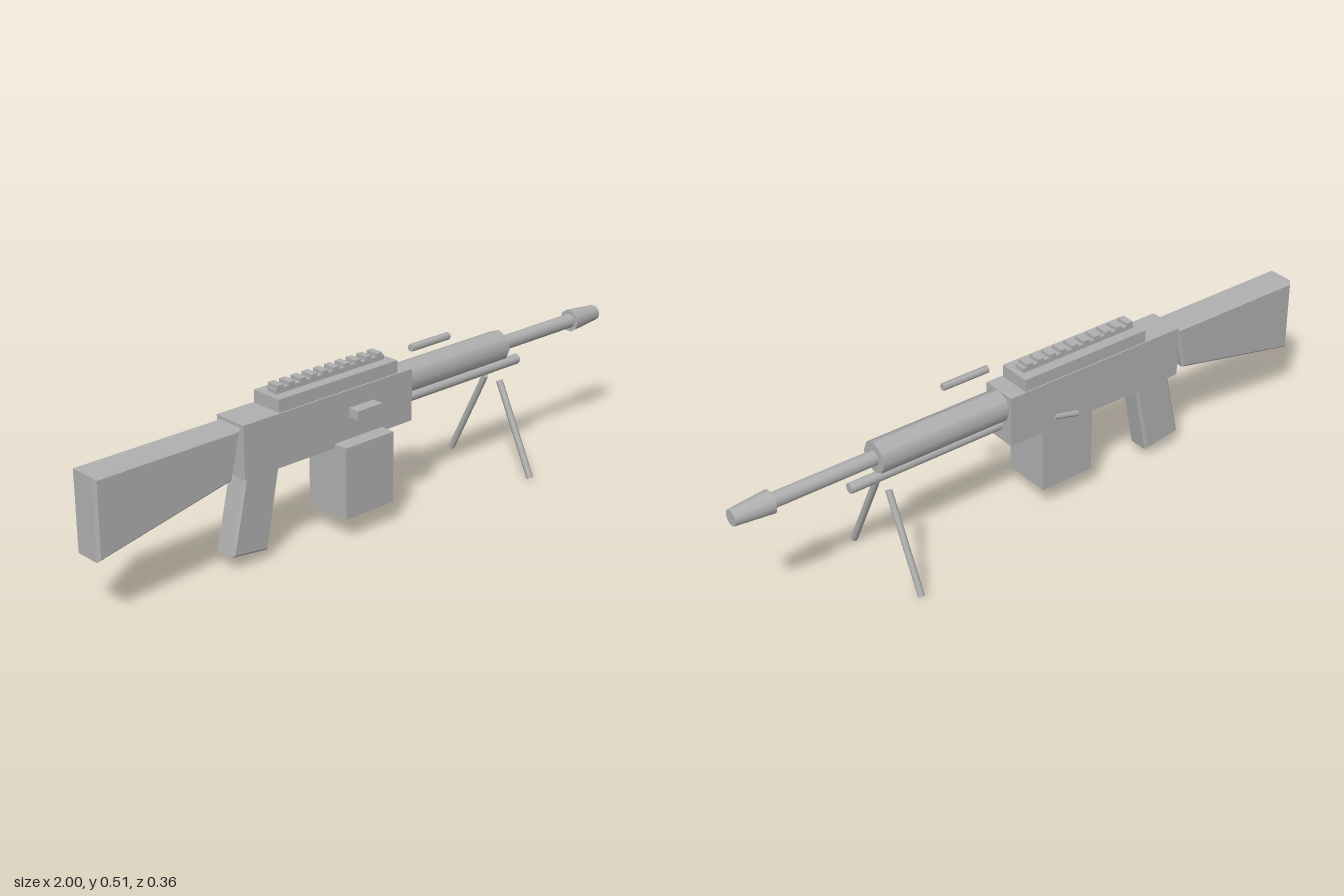
import * as THREE from 'three';

const grey = new THREE.MeshStandardMaterial({ color: 0xb0b0b0 });
grey.name = 'plain grey';

export function createModel() {
  const group = new THREE.Group();

  const add = (name, geometry) => {
    const mesh = new THREE.Mesh(geometry, grey);
    mesh.name = name;
    group.add(mesh);
    return mesh;
  };

  // Box given by its extents on each axis
  const box = (name, x0, x1, y0, y1, z0, z1) =>
    add(name, new THREE.BoxGeometry(x1 - x0, y1 - y0, z1 - z0))
      .position.set((x0 + x1) / 2, (y0 + y1) / 2, (z0 + z1) / 2);

  // Round bar between two points, radius r0 at the start and r1 at the end
  const bar = (name, a, b, r0, r1, sides) => {
    const from = new THREE.Vector3(...a), to = new THREE.Vector3(...b);
    const dir = to.clone().sub(from);
    const mesh = add(name, new THREE.CylinderGeometry(r1, r0, dir.length(), sides));
    mesh.position.copy(from).add(to).multiplyScalar(0.5);
    mesh.quaternion.setFromUnitVectors(new THREE.Vector3(0, 1, 0), dir.normalize());
  };

  // Side outline extruded across z with chamfered edges
  const slab = (name, points, halfWidth, bevel) => {
    const shape = new THREE.Shape(points.map(([x, y]) => new THREE.Vector2(x, y)));
    const geometry = new THREE.ExtrudeGeometry(shape, {
      depth: 2 * (halfWidth - bevel), bevelEnabled: true, bevelSegments: 1,
      bevelSize: bevel, bevelThickness: bevel, bevelOffset: -bevel,
    });
    geometry.translate(0, 0, bevel - halfWidth);
    add(name, geometry);
  };

  // Body
  box('receiver', -0.515, 0.12, 0.28, 0.442, -0.057, 0.058);
  box('topCover', -0.385, 0.065, 0.44, 0.481, -0.053, 0.053);
  box('ammoBox', -0.185, 0, 0.07, 0.293, -0.052, 0.106);
  box('sideLug', -0.13, -0.035, 0.36, 0.388, 0.05, 0.096);
  bar('sideHandle', [-0.12, 0.302, -0.063], [-0.04, 0.318, -0.056], 0.009, 0.009, 6);

  // Top rail with evenly spaced teeth
  box('railBase', -0.365, 0.045, 0.48, 0.495, -0.019, 0.019);
  for (let i = 0; i < 10; i++) {
    const x = -0.35 + i * 0.0415;
    box('railTooth', x - 0.011, x + 0.011, 0.494, 0.506, -0.021, 0.021);
  }

  // Stock and grip
  slab('stock', [[-1, 0.19], [-0.55, 0.285], [-0.515, 0.432], [-1, 0.432]], 0.05, 0.009);
  slab('grip', [[-0.55, 0.046], [-0.42, 0.029], [-0.368, 0.29], [-0.495, 0.29]], 0.038, 0.008);

  // Barrel group
  const axisY = 0.394;
  bar('barrelJacket', [0.115, axisY, 0], [0.55, axisY, 0], 0.049, 0.049, 8);
  bar('barrel', [0.54, axisY, 0], [0.9, axisY, 0], 0.023, 0.023, 10);
  bar('muzzle', [0.88, axisY, 0], [1, axisY, 0], 0.036, 0.025, 10);
  bar('lowerTube', [0.115, 0.327, 0], [0.635, 0.327, 0], 0.016, 0.016, 12);
  bar('carryHandle', [0.13, 0.499, 0.04], [0.287, 0.499, 0.04], 0.0115, 0.0115, 6);

  // Bipod
  for (const s of [1, -1])
    bar('bipodLeg', [0.527, 0.291, s * 0.03], [0.527, 0.006, s * 0.17], 0.0105, 0.0105, 8);

  return group;
}
